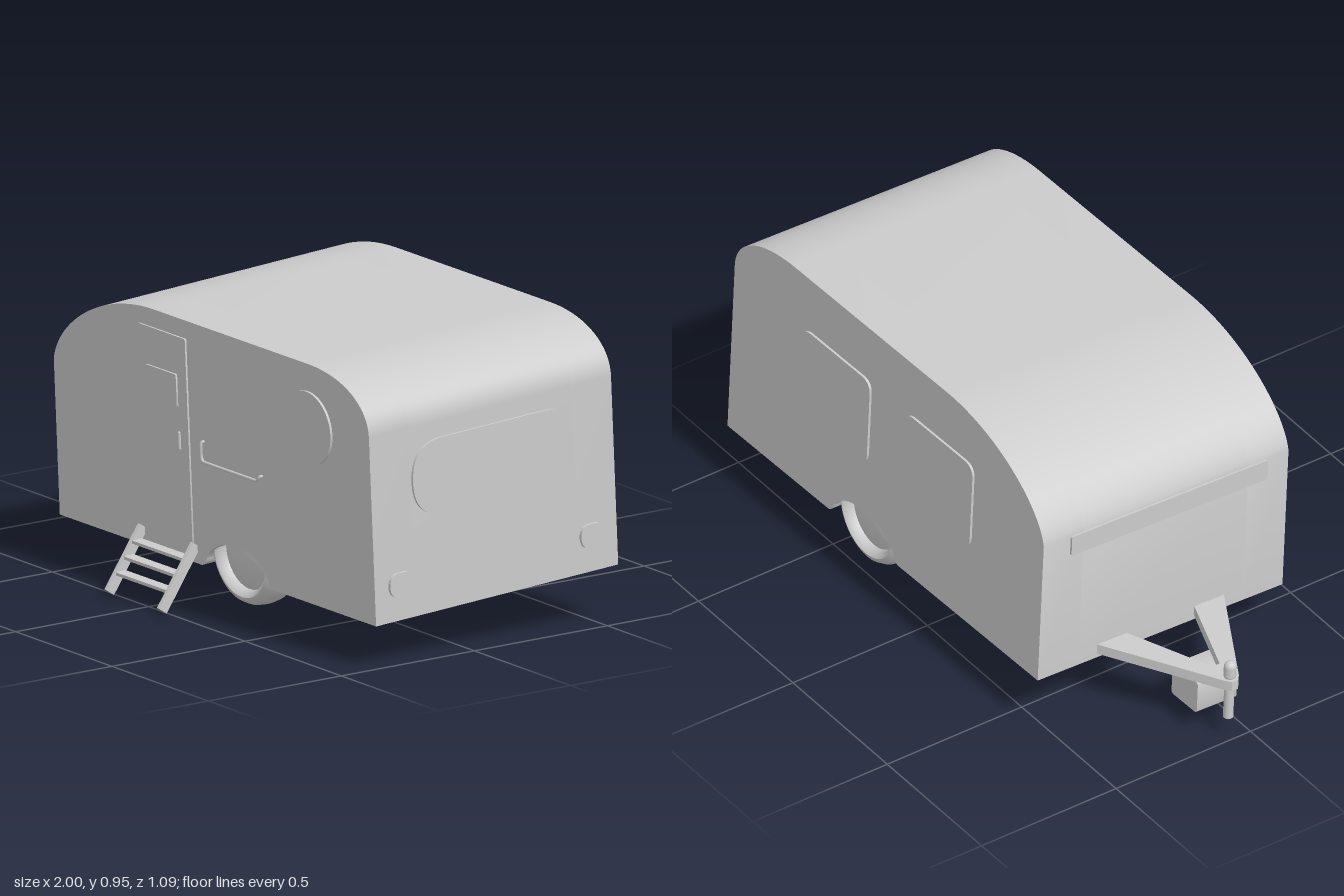
import * as THREE from 'three';
import { toCreasedNormals } from 'three/addons/utils/BufferGeometryUtils.js';

const mat = new THREE.MeshStandardMaterial({ color: 0xcccccc });
const L = 0.8, W = 0.462, H = 0.77; // body half length, half width, height

export function createModel() {
  const root = new THREE.Group();
  root.name = 'caravan';
  const van = new THREE.Group();
  van.name = 'leaningCaravan';
  van.position.set(0.187, 0.16, -0.08);
  van.rotation.set(0.05, 0.019, -0.0065);
  root.add(van);

  const add = (name, geo, x = 0, y = 0, z = 0, rx = 0, ry = 0, rz = 0) => {
    const m = new THREE.Mesh(geo, mat);
    m.name = name;
    m.position.set(x, y, z);
    m.rotation.set(rx, ry, rz);
    van.add(m);
    return m;
  };
  const box = (w, h, d) => new THREE.BoxGeometry(w, h, d);
  const extrude = (shape, depth) => toCreasedNormals(
    new THREE.ExtrudeGeometry(shape, { depth, bevelEnabled: false, curveSegments: 24 }), 0.5);

  // Side profile of the shell, with or without the wheel arch
  const profile = (arch) => {
    const s = new THREE.Shape();
    s.moveTo(-L, 0);
    if (arch) {
      s.lineTo(-0.08, 0);
      s.quadraticCurveTo(-0.06, 0.005, -0.055, 0.025);
      s.bezierCurveTo(-0.01, 0.122, 0.21, 0.122, 0.255, 0.025);
      s.quadraticCurveTo(0.26, 0.005, 0.28, 0);
    }
    s.lineTo(L, 0);
    s.lineTo(L, 0.6);
    s.bezierCurveTo(L, 0.7, 0.68, H, 0.5, H);
    s.lineTo(-0.28, H);
    s.bezierCurveTo(-0.54, H, -0.77, 0.63, -L, 0.5);
    s.closePath();
    return s;
  };
  const inner = 0.31;
  add('bodyMiddle', extrude(profile(false), inner * 2), 0, 0, -inner);
  add('bodySideFront', extrude(profile(true), W - inner), 0, 0, inner);
  add('bodySideBack', extrude(profile(true), W - inner), 0, 0, -W);

  // Rounded plate centred on its origin, raised along +z
  const plate = (w, h, r, depth = 0.008) => {
    const a = w / 2, b = h / 2, s = new THREE.Shape();
    s.moveTo(-a + r, -b);
    s.lineTo(a - r, -b);
    s.quadraticCurveTo(a, -b, a, -b + r);
    s.lineTo(a, b - r);
    s.quadraticCurveTo(a, b, a - r, b);
    s.lineTo(-a + r, b);
    s.quadraticCurveTo(-a, b, -a, b - r);
    s.lineTo(-a, -b + r);
    s.quadraticCurveTo(-a, -b, -a + r, -b);
    return extrude(s, depth);
  };

  // Door with its window and handle
  add('door', plate(0.24, 0.7, 0.006, 0.006), -0.237, 0.362, W);
  add('doorWindow', plate(0.155, 0.105, 0.006), -0.24, 0.538, W + 0.004);
  add('doorHandle', new THREE.CapsuleGeometry(0.005, 0.05, 4, 8), -0.152, 0.383, W + 0.015);

  // Round window
  add('roundWindow', new THREE.CylinderGeometry(0.116, 0.116, 0.012, 40), 0.498, 0.567, W + 0.002, Math.PI / 2);

  // Bent grab rail
  const railPath = new THREE.CatmullRomCurve3([
    [-0.047, 0.4, 0], [-0.047, 0.4, 0.012], [-0.047, 0.355, 0.012], [-0.035, 0.34, 0.012],
    [0.23, 0.34, 0.012], [0.245, 0.355, 0.012], [0.245, 0.355, 0],
  ].map((p) => new THREE.Vector3(...p)), false, 'catmullrom', 0.1);
  add('grabRail', new THREE.TubeGeometry(railPath, 50, 0.005, 8), 0, 0, W);

  // Two windows on the back wall
  for (const x of [-0.265, 0.265]) add('sideWindow', plate(0.35, 0.31, 0.045), x, 0.43, -W, 0, Math.PI);

  // Rear end: wide window and two lights
  add('rearWindow', plate(0.615, 0.24, 0.12), L, 0.428, 0, 0, Math.PI / 2);
  for (const s of [-1, 1]) add('rearLight', plate(0.09, 0.076, 0.038, 0.01), L, 0.115, s * 0.365, 0, Math.PI / 2);

  // Narrow window across the towing end
  add('noseWindow', plate(0.74, 0.07, 0.008), -L, 0.465, 0.01, 0, -Math.PI / 2);

  // Wheels: rounded tyre with a domed hub
  const half = [[0, 0.05], [0.05, 0.048], [0.1, 0.036], [0.113, 0.03], [0.118, 0.052],
    [0.132, 0.062], [0.148, 0.054], [0.16, 0.032], [0.164, 0]];
  const section = [...half.slice(0, -1).map(([r, y]) => [r, -y]), half.at(-1),
    ...half.slice(0, -1).reverse()].map(([r, y]) => new THREE.Vector2(r, y));
  const wheel = toCreasedNormals(new THREE.LatheGeometry(section, 40), 0.9);
  for (const s of [-1, 1]) add('wheel', wheel, 0.1, 0.067, s * 0.388, Math.PI / 2);

  // Towing frame: an A-shaped plate with an open middle
  const frame = new THREE.Shape([[-0.79, -0.245], [-0.79, 0.245], [-1.165, 0.028], [-1.185, 0.012],
    [-1.185, -0.012], [-1.165, -0.028]].map((p) => new THREE.Vector2(...p)));
  frame.holes.push(new THREE.Path([[-0.793, -0.13], [-0.793, 0.13], [-1.085, 0.014], [-1.085, -0.014]]
    .map((p) => new THREE.Vector2(...p))));
  add('towFrame', extrude(frame, 0.034), 0, 0.048, 0, Math.PI / 2);
  add('hitchBox', plate(0.13, 0.112, 0.012, 0.15), -1.032, -0.04, -0.075);

  // Jockey post at the tip
  add('hitchPost', new THREE.CylinderGeometry(0.016, 0.016, 0.16, 16), -1.157, -0.02, 0);
  add('hitchPostHead', new THREE.CapsuleGeometry(0.02, 0.03, 6, 16), -1.157, 0.07, 0);

  // Folding steps: two slanted rails and three treads
  const top = new THREE.Vector2(0.465, 0.06), foot = new THREE.Vector2(0.602, -0.122);
  const lean = Math.atan2(foot.x - top.x, top.y - foot.y);
  const mid = top.clone().lerp(foot, 0.5);
  for (const x of [-0.372, -0.106]) {
    add('stepRail', box(0.013, top.distanceTo(foot), 0.034), x, mid.y, mid.x, -lean);
  }
  for (const t of [0.22, 0.46, 0.7]) {
    const p = top.clone().lerp(foot, t);
    add('stepTread', box(0.26, 0.01, 0.036), -0.239, p.y, p.x);
  }

  return root;
}
